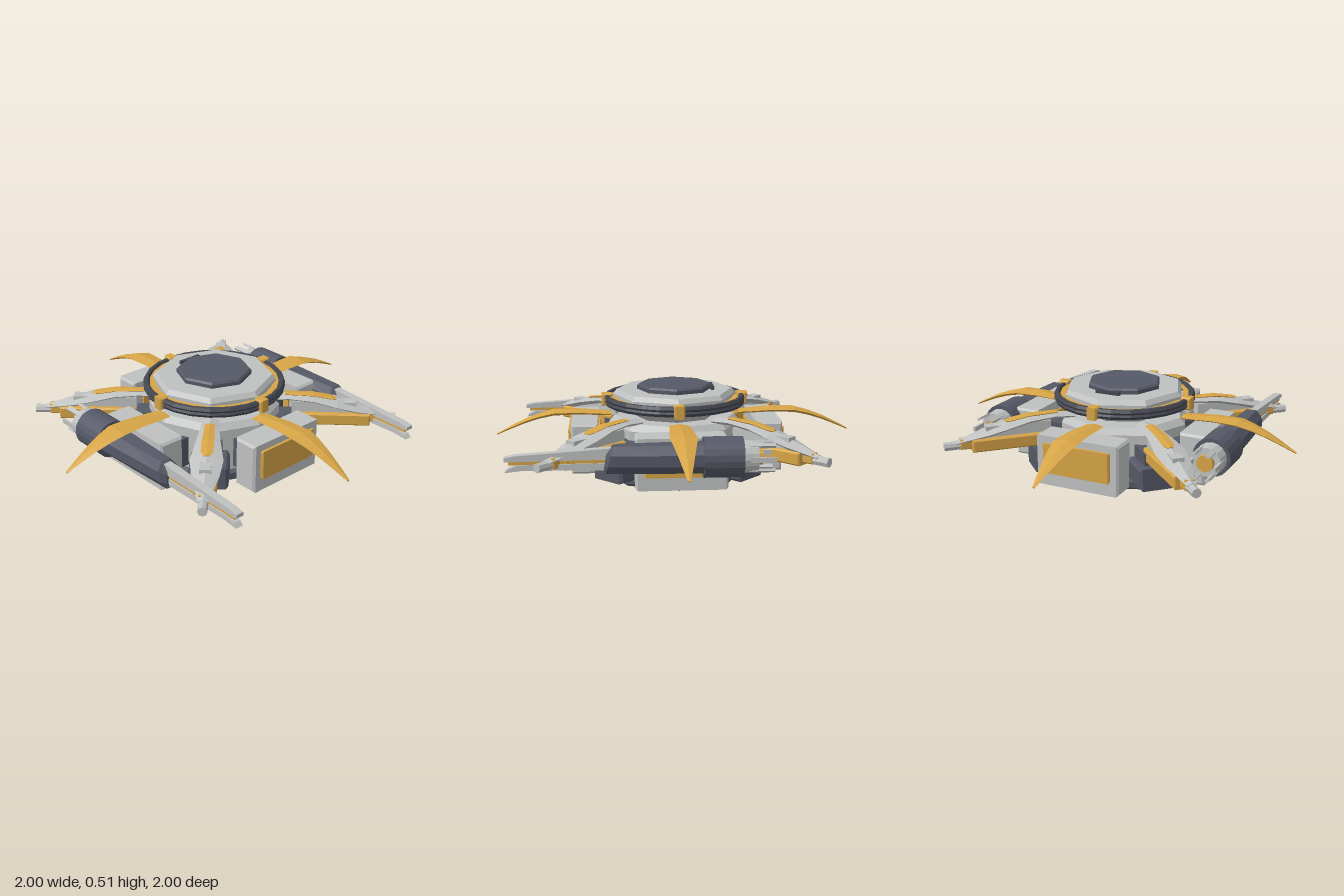
import * as THREE from 'three';

const mat = (name, color) => {
  const m = new THREE.MeshStandardMaterial({ color });
  m.name = name;
  return m;
};

export function createModel() {
  const root = new THREE.Group();
  root.name = 'saucerStation';
  const grey = mat('light grey hull', 0xbfc0c0);
  const dark = mat('slate armour', 0x555866);
  const deep = mat('dark ring metal', 0x454751);
  const gold = mat('gold trim', 0xd6a446);

  // faceted normals
  const flat = (g) => {
    const f = g.index ? g.toNonIndexed() : g;
    f.computeVertexNormals();
    return f;
  };
  const add = (parent, name, geo, material, x = 0, y = 0, z = 0) => {
    const m = new THREE.Mesh(geo, material);
    m.name = name;
    m.position.set(x, y, z);
    parent.add(m);
    return m;
  };
  // faceted turned part, corners on the axes
  const turned = (sides, pts) =>
    flat(new THREE.LatheGeometry(pts.map(([r, y]) => new THREE.Vector2(r, y)), sides));
  // box with chamfered edges, centred on the origin
  const chamferBox = (w, h, d, b) => {
    const s = new THREE.Shape();
    const x = w / 2 - b, y = h / 2 - b;
    s.moveTo(-x, -y).lineTo(x, -y).lineTo(x, y).lineTo(-x, y).closePath();
    return new THREE.ExtrudeGeometry(s, {
      depth: d - 2 * b, bevelEnabled: true, bevelSize: b, bevelThickness: b, bevelSegments: 1,
    }).translate(0, 0, b - d / 2);
  };
  // skin closed cross-sections running along +x, with end caps
  const loft = (rings) => {
    const v = [], n = rings[0].length;
    const tri = (...p) => p.forEach((q) => v.push(...q));
    for (let i = 0; i < rings.length - 1; i++) {
      for (let j = 0; j < n; j++) {
        const k = (j + 1) % n, A = rings[i], B = rings[i + 1];
        tri(A[j], A[k], B[k]);
        tri(A[j], B[k], B[j]);
      }
    }
    const S = rings[0], E = rings[rings.length - 1];
    for (let j = 1; j < n - 1; j++) {
      tri(S[0], S[j + 1], S[j]);
      tri(E[0], E[j], E[j + 1]);
    }
    const g = new THREE.BufferGeometry();
    g.setAttribute('position', new THREE.Float32BufferAttribute(v, 3));
    g.computeVertexNormals();
    return g;
  };
  // curved blade from stations [x, y, half width, thickness]
  const blade = (stations, edge = 0.4) => loft(stations.map(([x, y, w, t]) => [
    [x, y, 0], [x, y - t * edge, w], [x, y - t, w * 0.5], [x, y - t, -w * 0.5], [x, y - t * edge, -w],
  ]));
  const fourWay = (name, offset, build) => {
    for (let i = 0; i < 4; i++) {
      const g = new THREE.Group();
      g.name = name;
      g.rotation.y = offset + (i * Math.PI) / 2;
      build(g);
      root.add(g);
    }
  };

  // central hull
  add(root, 'base', turned(8, [[0, 0], [0.39, 0], [0.4, 0.012], [0.4, 0.045], [0.38, 0.055], [0, 0.055]]), dark);
  add(root, 'core', turned(8, [[0.37, 0.05], [0.37, 0.3], [0.34, 0.335], [0, 0.335]]), grey);
  add(root, 'saucer', turned(8, [[0.22, 0.33], [0.25, 0.355], [0.33, 0.4], [0.345, 0.42],
    [0.345, 0.46], [0.325, 0.485], [0, 0.485]]), grey);
  add(root, 'topCap', turned(8, [[0.21, 0.48], [0.21, 0.505], [0.2, 0.515], [0, 0.515]]), dark);
  add(root, 'capHandle', new THREE.BoxGeometry(0.018, 0.03, 0.14), deep, -0.21, 0.49, 0);
  add(root, 'trimRing', turned(24, [[0.33, 0.4], [0.362, 0.4], [0.362, 0.445], [0.33, 0.445]]), gold);

  // double rim ring
  for (const y of [0.418, 0.44]) {
    const ring = flat(new THREE.TorusGeometry(0.38, 0.018, 6, 24).rotateX(Math.PI / 2));
    add(root, 'rimRing', ring, deep, 0, y, 0);
  }

  // axis sides: pod, panel, clip and curved fin
  const fin = blade([[0.36, 0.36, 0.05, 0.02], [0.42, 0.364, 0.056, 0.022], [0.55, 0.374, 0.063, 0.026],
    [0.68, 0.374, 0.07, 0.03], [0.76, 0.352, 0.056, 0.026], [0.84, 0.322, 0.041, 0.022],
    [0.92, 0.283, 0.025, 0.016], [1, 0.24, 0.008, 0.008]]);
  fourWay('axisSide', 0, (g) => {
    add(g, 'pod', chamferBox(0.145, 0.275, 0.48, 0.012), grey, 0.505, 0.198, 0);
    add(g, 'podPanel', chamferBox(0.03, 0.165, 0.39, 0.008), gold, 0.578, 0.215, 0);
    add(g, 'podInnerTrim', new THREE.BoxGeometry(0.016, 0.16, 0.36), gold, 0.43, 0.2, 0);
    add(g, 'podMount', new THREE.BoxGeometry(0.16, 0.17, 0.28), dark, 0.36, 0.16, 0);
    add(g, 'ringClip', chamferBox(0.06, 0.07, 0.06, 0.008), gold, 0.38, 0.429, 0);
    add(g, 'fin', fin, gold);
  });

  // diagonal sides: foot, arm, gold under-body and barrel
  const arm = [[0.3, 0.36, 0.045, 0.03], [0.42, 0.372, 0.05, 0.035], [0.56, 0.367, 0.065, 0.04],
    [0.69, 0.345, 0.085, 0.045], [0.8, 0.315, 0.07, 0.045], [0.9, 0.285, 0.042, 0.035], [0.965, 0.262, 0.028, 0.02]];
  const strip = [[0.4, 0.376, 0.026, 0.016], [0.56, 0.373, 0.032, 0.016],
    [0.66, 0.356, 0.032, 0.016], [0.69, 0.35, 0.016, 0.016]];
  fourWay('diagonalSide', Math.PI / 4, (g) => {
    add(g, 'foot', chamferBox(0.2, 0.125, 0.21, 0.015), dark, 0.445, 0.122, 0);
    add(g, 'footMount', new THREE.BoxGeometry(0.16, 0.1, 0.13), dark, 0.42, 0.2, 0);
    add(g, 'arm', blade(arm, 0.5), grey);
    add(g, 'armStrip', blade(strip, 0.3), gold);
    add(g, 'armBody', chamferBox(0.43, 0.07, 0.115, 0.008), gold, 0.665, 0.235, 0);
    add(g, 'armSpine', new THREE.BoxGeometry(0.36, 0.07, 0.06), grey, 0.62, 0.295, 0);
    add(g, 'barrelCollar', chamferBox(0.06, 0.055, 0.055, 0.006), gold, 0.91, 0.242, 0);
    add(g, 'barrel', flat(new THREE.CylinderGeometry(0.025, 0.025, 0.18, 8).rotateZ(Math.PI / 2)), grey, 0.935, 0.235, 0);
  });

  // octagonal cross-section for the cannon housing
  const section = (x, slant, y0, y1, w) => {
    const c = 0.3 * (y1 - y0);
    const p = [[y1, w * 0.5], [y1 - c, w], [y0 + c, w], [y0, w * 0.5],
      [y0, -w * 0.5], [y0 + c, -w], [y1 - c, -w], [y1, -w * 0.5]];
    return p.map(([y, z]) => [x + slant * (y1 - y), y, z]);
  };
  const housing = loft([section(-0.12, 0, 0.18, 0.328, 0.085), section(0.08, 0, 0.18, 0.325, 0.075),
    section(0.35, 0.28, 0.182, 0.322, 0.058), section(0.385, 0.15, 0.19, 0.29, 0.03)]);
  // flat rail cut from a side outline
  const rail = (pts, d) => {
    const s = new THREE.Shape(pts.map(([x, y]) => new THREE.Vector2(x, y)));
    return new THREE.ExtrudeGeometry(s, { depth: d, bevelEnabled: false }).translate(0, 0, -d / 2);
  };
  const upperRail = rail([[0.33, 0.255], [0.89, 0.25], [0.89, 0.27], [0.84, 0.28], [0.36, 0.312]], 0.044);
  const lowerRail = rail([[0.33, 0.2], [0.8, 0.205], [0.89, 0.195], [0.87, 0.215], [0.82, 0.234], [0.33, 0.236]], 0.044);
  const drum = (r1, r2, len, sides) =>
    flat(new THREE.CylinderGeometry(r1, r2, len, sides).rotateZ(Math.PI / 2));

  // front and back cannons
  for (const side of [1, -1]) {
    const g = new THREE.Group();
    g.name = 'cannon';
    g.position.z = 0.638 * side;
    root.add(g);
    add(g, 'housing', housing, dark);
    add(g, 'engineDrum', drum(0.104, 0.104, 0.2, 20), dark, -0.2, 0.253, 0);
    add(g, 'engineCollar', drum(0.078, 0.085, 0.08, 16), grey, -0.335, 0.253, 0);
    add(g, 'engineCore', drum(0.045, 0.045, 0.03, 12), gold, -0.385, 0.253, 0);
    for (let i = 0; i < 6; i++) {
      const a = (i * Math.PI) / 3 + Math.PI / 6;
      const prong = add(g, 'prong', new THREE.BoxGeometry(0.13, 0.014, 0.026), grey,
        -0.395, 0.253 + 0.075 * Math.cos(a), 0.075 * Math.sin(a));
      prong.rotation.x = a;
    }
    add(g, 'upperRail', upperRail, grey);
    add(g, 'lowerRail', lowerRail, grey);
    add(g, 'railCore', new THREE.BoxGeometry(0.5, 0.024, 0.03), gold, 0.62, 0.244, 0);
  }
  return root;
}
